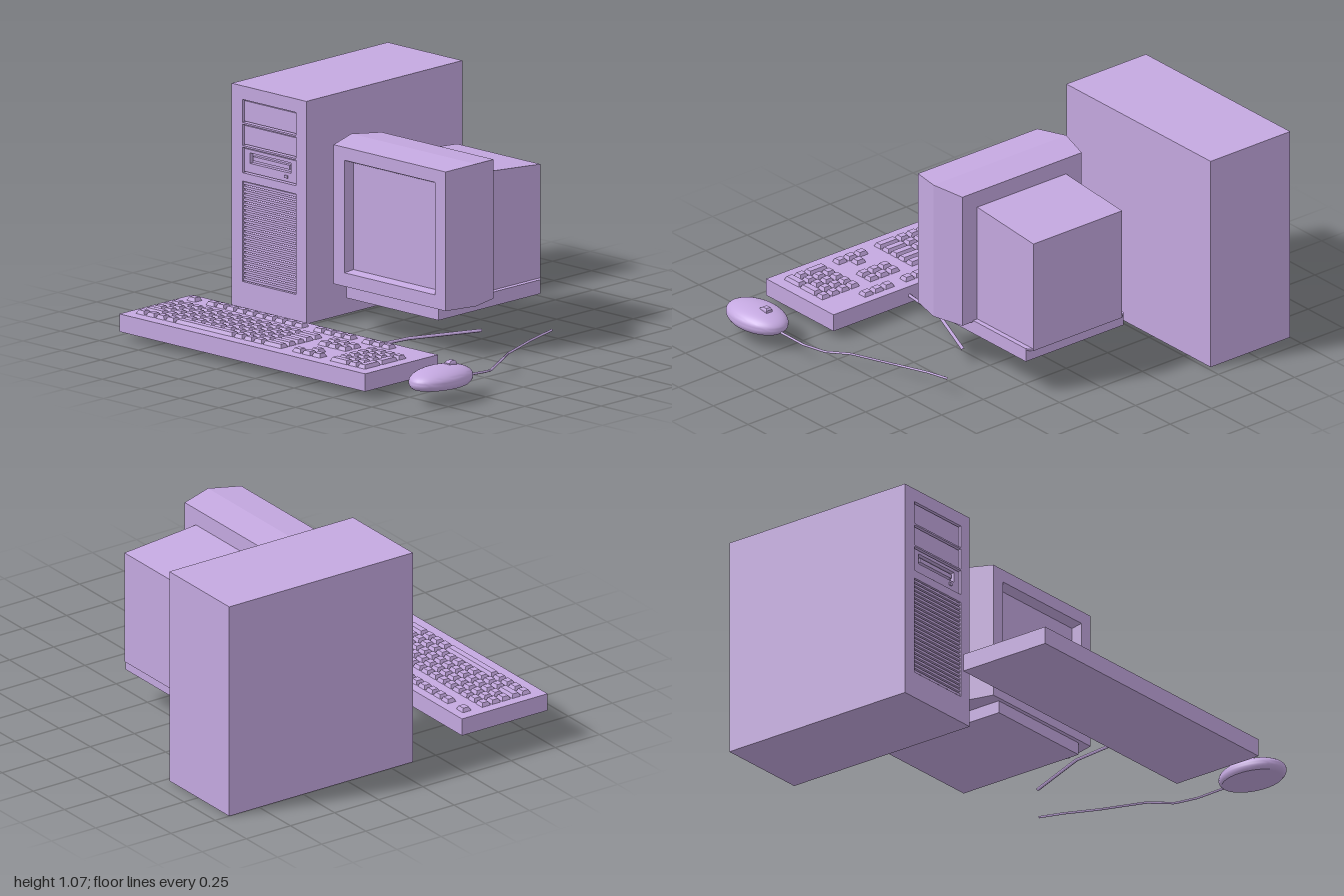
import * as THREE from 'three';
import { mergeGeometries, toCreasedNormals } from 'three/addons/utils/BufferGeometryUtils.js';

const material = new THREE.MeshStandardMaterial({ color: 0xc4a8e0 });

function add(parent, name, geometry) {
  const mesh = new THREE.Mesh(geometry, material);
  mesh.name = name;
  parent.add(mesh);
}

function group(parent, name) {
  const g = new THREE.Group();
  g.name = name;
  parent.add(g);
  return g;
}

// Box given by its limits
function block(x0, x1, y0, y1, z0, z1) {
  return new THREE.BoxGeometry(x1 - x0, y1 - y0, z1 - z0)
    .translate((x0 + x1) / 2, (y0 + y1) / 2, (z0 + z1) / 2);
}

// Flat-faced skin through rectangles [x0, x1, y0, y1, z], closed at both ends
function loft(rings) {
  const loops = rings.map(([x0, x1, y0, y1, z]) =>
    [[x0, y0, z], [x1, y0, z], [x1, y1, z], [x0, y1, z]]);
  const pos = [];
  const quad = (a, b, c, d) => pos.push(...a, ...b, ...c, ...a, ...c, ...d);
  for (let r = 0; r < loops.length - 1; r++) {
    const a = loops[r], b = loops[r + 1];
    for (let i = 0; i < 4; i++) {
      const j = (i + 1) % 4;
      quad(a[i], a[j], b[j], b[i]);
    }
  }
  quad(...[...loops[0]].reverse());
  quad(...loops[loops.length - 1]);
  const g = new THREE.BufferGeometry();
  g.setAttribute('position', new THREE.Float32BufferAttribute(pos, 3));
  g.computeVertexNormals();
  return g;
}

function rectangle(x0, x1, y0, y1, Type = THREE.Shape) {
  return new Type([[x0, y0], [x1, y0], [x1, y1], [x0, y1]].map(p => new THREE.Vector2(...p)));
}

// Rectangular plate with rectangular openings
function plate(outer, holes, z, depth) {
  const shape = rectangle(...outer);
  shape.holes = holes.map(h => rectangle(...h, THREE.Path));
  return new THREE.ExtrudeGeometry(shape, { depth, bevelEnabled: false }).translate(0, 0, z);
}

// Kinked cable with straight runs
function cable(points, radius) {
  const path = new THREE.CurvePath();
  const v = points.map(p => new THREE.Vector3(...p));
  for (let i = 1; i < v.length; i++) path.add(new THREE.LineCurve3(v[i - 1], v[i]));
  return new THREE.TubeGeometry(path, 60, radius, 6, false);
}

function buildTower(root) {
  const tower = group(root, 'tower');
  const bays = [[-0.93, -0.585, 0.89, 1.0], [-0.93, -0.585, 0.78, 0.882], [-0.93, -0.585, 0.65, 0.772]];
  const grille = [-0.93, -0.585, 0.13, 0.61];
  add(tower, 'case', block(-1, -0.52, 0, 1.065, -0.92, 0.09));
  add(tower, 'frontPanel', plate([-1, -0.52, 0, 1.065], [...bays, grille], 0.09, 0.03));

  // Drive covers sit just behind the front panel
  bays.forEach(([x0, x1, y0, y1], i) => {
    const rim = [x0 + 0.006, x1 - 0.006, y0 + 0.006, y1 - 0.006];
    const slot = [-0.89, -0.625, 0.7, 0.75];
    add(tower, 'driveCover', plate(rim, i === 2 ? [slot] : [], 0.09, 0.022));
  });
  add(tower, 'diskSlot', block(-0.875, -0.64, 0.715, 0.735, 0.09, 0.108));
  add(tower, 'ejectButton', block(-0.665, -0.645, 0.673, 0.686, 0.11, 0.118));

  // Ventilation slats
  const count = 24, pitch = 0.48 / count;
  const slats = [];
  for (let i = 0; i < count; i++) {
    const y = 0.13 + i * pitch;
    slats.push(block(-0.93, -0.585, y + 0.004, y + pitch - 0.004, 0.09, 0.115));
  }
  add(tower, 'ventSlats', mergeGeometries(slats));
}

function buildMonitor(root) {
  const monitor = group(root, 'monitor');
  // Bezel widens at its middle, then steps back to the screen
  add(monitor, 'bezelAndScreen', loft([
    [-0.345, 0.375, 0.225, 0.89, -0.2],
    [-0.385, 0.415, 0.225, 0.905, -0.04],
    [-0.345, 0.375, 0.225, 0.89, 0.12],
    [-0.275, 0.308, 0.29, 0.828, 0.12],
    [-0.26, 0.293, 0.3, 0.81, 0.075],
  ]));
  add(monitor, 'rearHousing', loft([
    [-0.25, 0.285, 0.225, 0.775, -0.605],
    [-0.25, 0.285, 0.225, 0.81, -0.2],
  ]));
  add(monitor, 'base', block(-0.28, 0.31, 0.165, 0.225, -0.58, 0.1));
  // Ledge tapering to the back of the housing
  add(monitor, 'baseLedge', loft([
    [-0.25, 0.285, 0.222, 0.232, -0.605],
    [-0.28, 0.31, 0.222, 0.232, -0.58],
    [-0.28, 0.31, 0.222, 0.232, -0.2],
  ]));
}

function buildKeyboard(root) {
  const keyboard = group(root, 'keyboard');
  add(keyboard, 'keyboardCase', block(-0.955, 0.625, 0.035, 0.12, 0.43, 0.915));

  const keys = [], u = 0.0627, row = 0.057, top = 0.575;
  // Tapered key
  const key = (x, z, w = 1, d = 1, unit = u) => {
    const x0 = x + 0.003, x1 = x + w * unit - 0.003;
    const z0 = z + 0.003, z1 = z + d * row - 0.003, t = 0.01;
    keys.push(loft([
      [x0, x1, -z1, -z0, 0.115],
      [x0 + t, x1 - t, -z1 + t, -z0 - t, 0.138],
    ]).rotateX(-Math.PI / 2));
  };
  const run = (x, z, widths) => {
    for (const w of widths) {
      key(x, z, w);
      x += w * u;
    }
  };
  const ones = n => Array(n).fill(1);

  // Top row
  [[-0.907, 1], [-0.785, 10], [-0.095, 4], [0.215, 3]].forEach(([x, n]) => run(x, 0.468, ones(n)));
  // Letter rows
  [
    [...ones(13), 2],
    [1, ...ones(12), 2],
    [1, ...ones(12), 2],
    [2, ...ones(10), 1, 2],
    [1, 1, 1, 1, 6, 1, 1, 1, 2],
  ].forEach((widths, r) => run(-0.91, top + r * row, widths));
  // Navigation keys and arrows
  [0, 1, 4].forEach(r => run(0.093, top + r * row, ones(3)));
  key(0.093 + u, top + 3 * row);
  // Number pad
  const n = 0.0585;
  for (let r = 0; r < 5; r++) {
    for (let c = 0; c < 3; c++) {
      if (r === 4 && c === 0) key(0.337, top + r * row, 2, 1, n);
      else if (r < 4 || c === 2) key(0.337 + c * n, top + r * row, 1, 1, n);
    }
  }
  [[0, 1], [1, 2], [3, 2]].forEach(([r, d]) => key(0.337 + 3 * n, top + r * row, 1, d, n));
  add(keyboard, 'keys', mergeGeometries(keys));

  add(keyboard, 'keyboardCable', cable([[0.165, 0.073, 0.44], [0.195, 0.073, 0.18], [0.335, 0.073, -0.16]], 0.008));
}

function buildMouse(root) {
  const mouse = group(root, 'mouse');
  // Rounded shell, squared a little and cut flat underneath
  const shell = new THREE.SphereGeometry(1, 40, 28);
  const p = shell.attributes.position;
  for (let i = 0; i < p.count; i++) {
    const y = p.getY(i);
    const h = Math.sign(y) * Math.pow(Math.abs(y), 0.9);
    p.setXYZ(i, 0.88 + p.getX(i) * 0.115, Math.max(0.07, 0.1 + h * 0.061), 0.675 + p.getZ(i) * 0.18);
  }
  shell.deleteAttribute('normal');
  shell.deleteAttribute('uv');
  add(mouse, 'mouseShell', toCreasedNormals(shell, 0.6));
  add(mouse, 'mouseButton', loft([
    [0.863, 0.897, -0.637, -0.585, 0.13],
    [0.863, 0.897, -0.635, -0.587, 0.165],
    [0.868, 0.892, -0.62, -0.595, 0.174],
  ]).rotateX(-Math.PI / 2));
  add(mouse, 'mouseCable', cable([
    [0.883, 0.085, 0.52], [0.865, 0.07, 0.36], [0.81, 0.05, 0.27], [0.765, 0.075, 0.14],
    [0.63, 0.04, -0.03], [0.595, 0.062, -0.22], [0.595, 0.084, -0.36],
  ], 0.006));
}

export function createModel() {
  const root = new THREE.Group();
  root.name = 'desktopComputer';
  buildTower(root);
  buildMonitor(root);
  buildKeyboard(root);
  buildMouse(root);
  return root;
}
